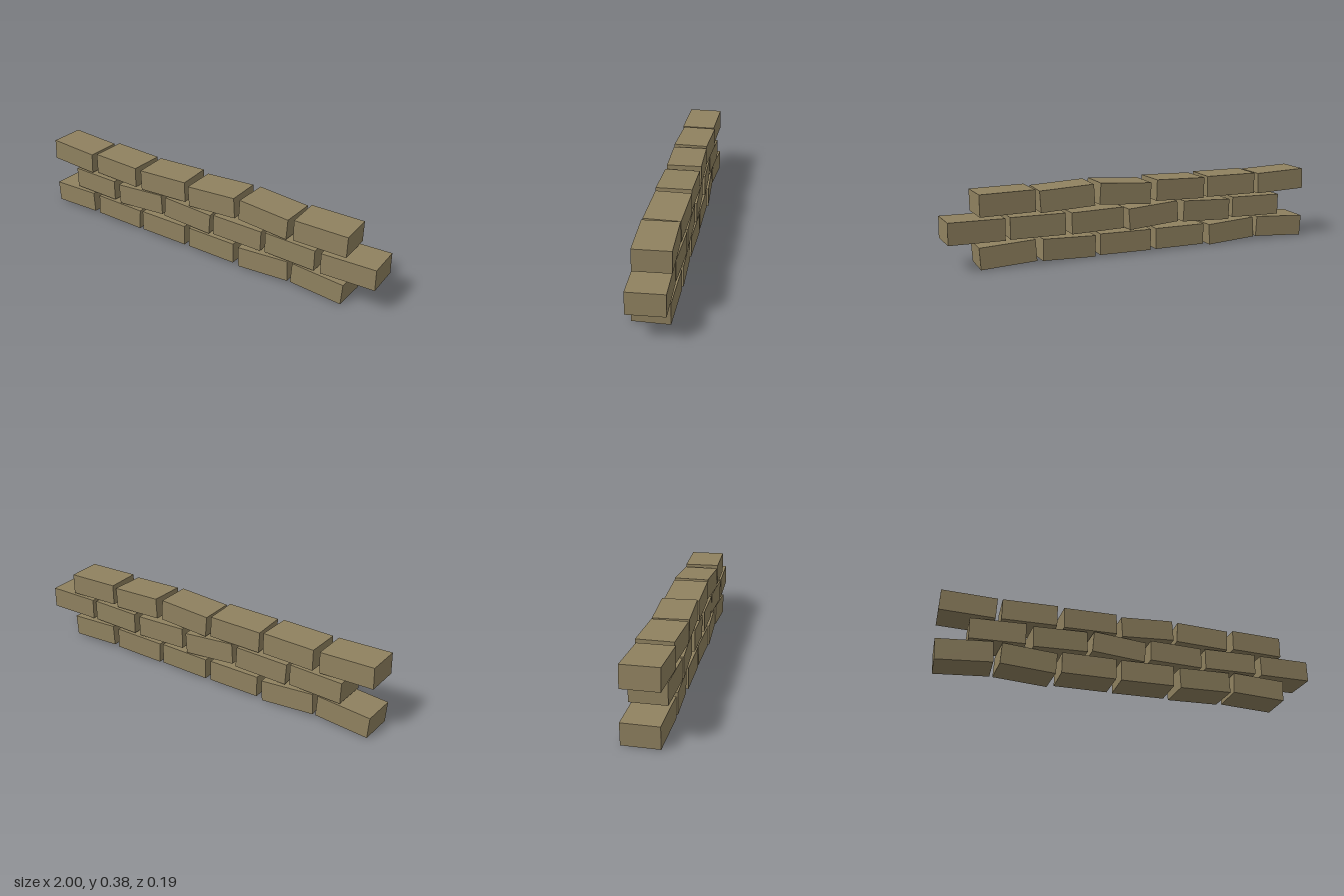
import * as THREE from 'three';

// Each brick: [roll about z, yaw about y], listed from -x to +x
const courses = [
  { name: 'bottomCourse', y: 0.065, x: -0.855, tilts: [
    [0.055, -0.045], [-0.05, 0.045], [0, 0], [0.005, -0.015], [0.04, 0.04], [-0.06, -0.02]] },
  { name: 'middleCourse', y: 0.192, x: -0.70, tilts: [
    [0.01, -0.04], [0.05, 0.04], [-0.07, 0.03], [-0.02, 0.02], [0, -0.03], [0.015, 0.03]] },
  { name: 'topCourse', y: 0.318, x: -0.855, tilts: [
    [-0.04, -0.03], [-0.005, -0.045], [0.03, 0.03], [0.065, 0], [-0.055, -0.035], [-0.01, 0.03]] },
];

export function createModel() {
  const model = new THREE.Group();
  model.name = 'brickWall';

  const stone = new THREE.MeshStandardMaterial({ color: 0x8f815f });
  stone.name = 'tanStone';
  const brickShape = new THREE.BoxGeometry(0.281, 0.11, 0.182);

  // Three staggered courses of loosely laid bricks
  for (const { name, y, x, tilts } of courses) {
    const course = new THREE.Group();
    course.name = name;
    tilts.forEach(([roll, yaw], i) => {
      const brick = new THREE.Mesh(brickShape, stone);
      brick.name = `brick${i + 1}`;
      brick.position.set(x + i * 0.31, y, 0);
      brick.rotation.set(0, yaw, roll);
      course.add(brick);
    });
    model.add(course);
  }
  return model;
}
